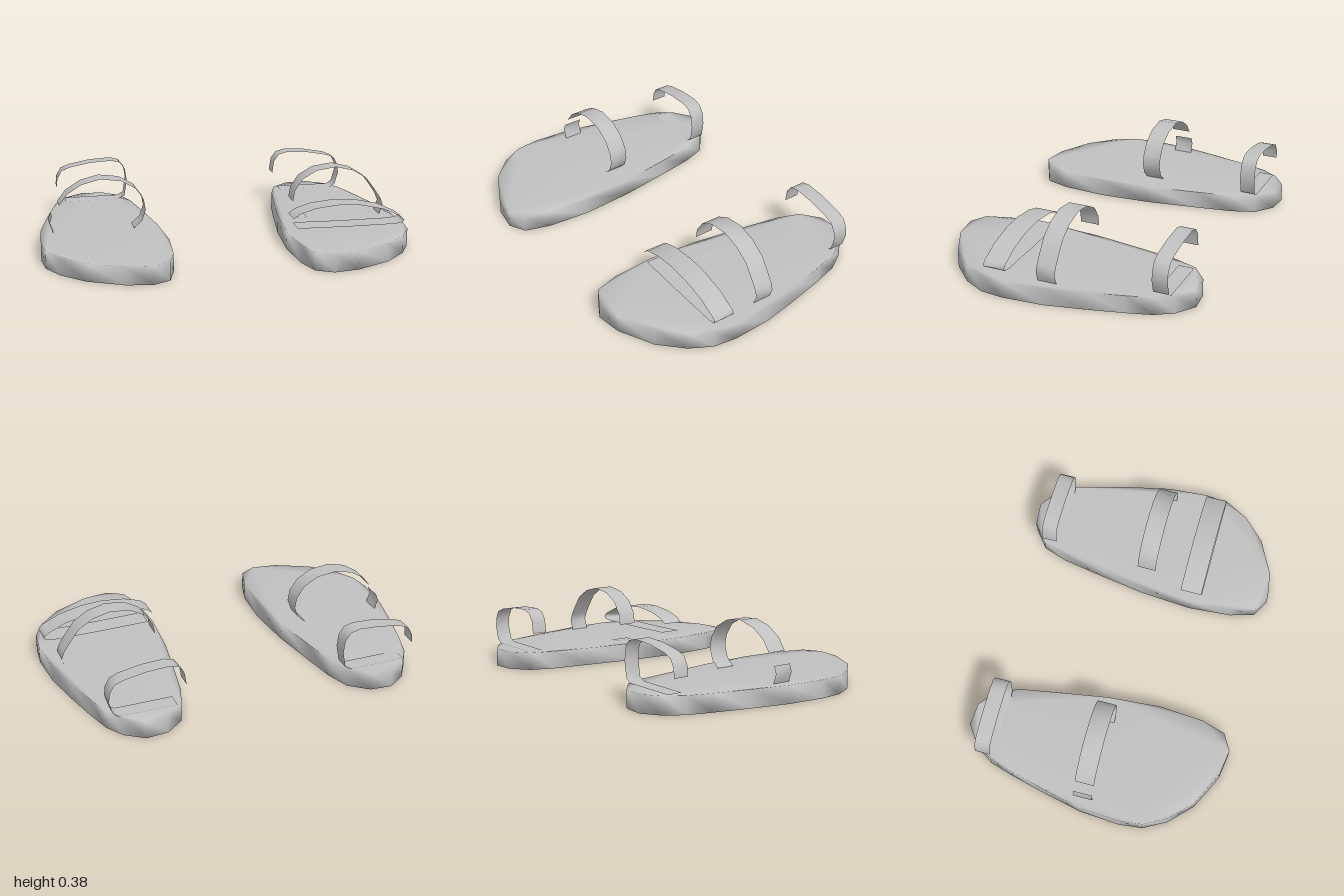
import * as THREE from 'three';
import { mergeVertices } from 'three/addons/utils/BufferGeometryUtils.js';

const SOLE_HEIGHT = 0.097;

// Outline of the left sole as [x, z], heel first
const OUTLINE = [
  [0.69, -0.71], [0.57, -0.7], [0.47, -0.62], [0.425, -0.49], [0.39, -0.29],
  [0.345, -0.01], [0.323, 0.28], [0.34, 0.52], [0.38, 0.655], [0.47, 0.705],
  [0.61, 0.685], [0.8, 0.59], [0.92, 0.47], [0.985, 0.35], [1, 0.22],
  [0.985, 0], [0.94, -0.21], [0.89, -0.41], [0.85, -0.545], [0.79, -0.64],
];

// Flat slab with softly shaded rim
function soleGeometry(side) {
  const shape = new THREE.Shape(OUTLINE.map(([x, z]) => new THREE.Vector2(side * x, -z)));
  const geo = new THREE.ExtrudeGeometry(shape, { depth: SOLE_HEIGHT, bevelEnabled: false });
  geo.rotateX(-Math.PI / 2);
  geo.deleteAttribute('normal');
  geo.deleteAttribute('uv');
  const merged = mergeVertices(geo, 1e-4);
  merged.computeVertexNormals();
  return merged;
}

// Thin ribbon that follows [x, y] points and spans z0 to z1
function ribbonGeometry(path, z0, z1) {
  const positions = [];
  const index = [];
  path.forEach(([x, y], i) => {
    positions.push(x, y, z0, x, y, z1);
    if (i > 0) {
      const a = 2 * i - 2;
      index.push(a, a + 1, a + 2, a + 1, a + 3, a + 2);
    }
  });
  const geo = new THREE.BufferGeometry();
  geo.setAttribute('position', new THREE.Float32BufferAttribute(positions, 3));
  geo.setIndex(index);
  geo.computeVertexNormals();
  return geo;
}

const mirror = (path) => path.map(([x, y]) => [-x, y]);

// Arch over the foot, from the inner to the outer side
const ARCH = [
  [0.415, 0.2], [0.425, 0.26], [0.47, 0.325], [0.55, 0.37], [0.66, 0.385],
  [0.76, 0.36], [0.84, 0.31], [0.885, 0.25],
];

// Heel loop, from the inner to the outer side
const HEEL_TOP = [
  [0.44, 0.21], [0.45, 0.28], [0.48, 0.32], [0.53, 0.333], [0.65, 0.327],
  [0.77, 0.305], [0.82, 0.285], [0.845, 0.24], [0.85, 0.19],
];

export function createModel() {
  const model = new THREE.Group();
  model.name = 'sandals';
  const grey = new THREE.MeshStandardMaterial({ color: 0xc0c0c0, side: THREE.DoubleSide });
  grey.name = 'grey';

  const add = (parent, name, geo) => {
    const mesh = new THREE.Mesh(geo, grey);
    mesh.name = name;
    parent.add(mesh);
  };

  for (const side of [1, -1]) {
    const sandal = new THREE.Group();
    sandal.name = side > 0 ? 'leftSandal' : 'rightSandal';
    model.add(sandal);
    const place = (path) => (side > 0 ? path : mirror(path));

    add(sandal, 'sole', soleGeometry(side));

    // Instep strap, opened on the -x side
    const low = [[0.925, 0.19], [0.94, 0.15], [0.92, SOLE_HEIGHT]];
    const inner = [[0.48, 0.1], [0.435, 0.14]];
    if (side > 0) {
      add(sandal, 'instepStrap', ribbonGeometry([...ARCH, ...low], -0.05, 0.055));
      add(sandal, 'instepStrapEnd', ribbonGeometry([[0.45, 0.1], [0.5, 0.1]], -0.05, 0.055));
    } else {
      add(sandal, 'instepStrap', ribbonGeometry(place([...inner, ...ARCH]), -0.05, 0.055));
      add(sandal, 'instepStrapEnd', ribbonGeometry(place(low), -0.05, 0.055));
    }

    // Heel strap with its base band, opened on the -x side
    const base = [[0.83, 0.12], [0.8, 0.101], [0.49, 0.101]];
    const heel = side > 0
      ? [...HEEL_TOP, ...base]
      : [[0.8, 0.101], [0.49, 0.101], [0.455, 0.12], ...HEEL_TOP];
    add(sandal, 'heelStrap', ribbonGeometry(place(heel), -0.62, -0.535));
  }

  // Toe strap, only on the left sandal
  const toe = [
    [0.37, 0.13], [0.65, 0.125], [0.92, 0.125], [0.96, 0.132], [0.97, 0.145], [0.95, 0.165],
    [0.85, 0.212], [0.72, 0.242], [0.6, 0.25], [0.47, 0.237], [0.38, 0.21], [0.345, 0.185],
  ];
  add(model.children[0], 'toeStrap', ribbonGeometry(toe, 0.22, 0.34));

  return model;
}
